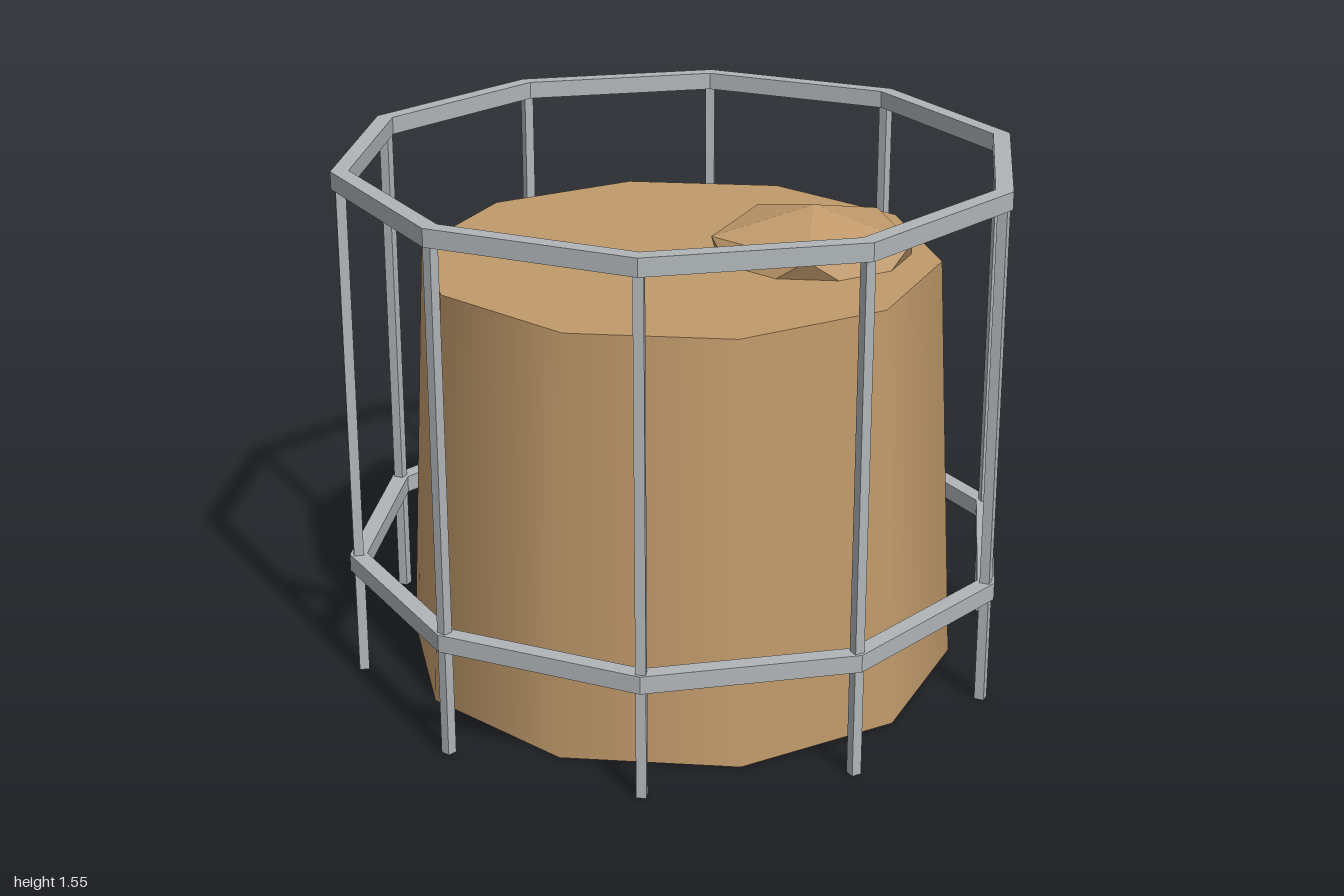
import * as THREE from 'three';

export function createModel() {
  const model = new THREE.Group();
  const tan = new THREE.MeshStandardMaterial({ color: 0xc19a6b });
  tan.name = 'tan';
  const metal = new THREE.MeshStandardMaterial({ color: 0xb0b5b8 });
  metal.name = 'grey metal';
  const SIDES = 10;

  const add = (name, geometry, material, parent = model) => {
    const mesh = new THREE.Mesh(geometry, material);
    mesh.name = name;
    parent.add(mesh);
    return mesh;
  };

  // Tapered ten-sided drum, smooth around the side
  add('drum', new THREE.CylinderGeometry(0.765, 0.83, 1.25, SIDES), tan).position.y = 0.625;

  // Flattened icosahedron half sunk in the top, one corner straight up
  const lumpGeometry = new THREE.IcosahedronGeometry(0.341, 0);
  lumpGeometry.rotateX(-Math.atan((1 + Math.sqrt(5)) / 2));
  lumpGeometry.rotateY(Math.PI / 2);
  lumpGeometry.scale(1, 0.41, 1);
  add('lump', lumpGeometry, tan).position.set(0.28, 1.25, 0.275);

  // Railing around the drum
  const railing = new THREE.Group();
  railing.name = 'railing';
  model.add(railing);

  const corners = (radius) => Array.from({ length: SIDES }, (_, i) => {
    const a = (i / SIDES) * Math.PI * 2;
    return new THREE.Vector2(radius * Math.cos(a), radius * Math.sin(a));
  });

  // Two ten-sided rails
  const ring = new THREE.Shape(corners(1));
  ring.holes.push(new THREE.Path(corners(0.948).reverse()));
  const railGeometry = new THREE.ExtrudeGeometry(ring, { depth: 0.052, bevelEnabled: false });
  railGeometry.rotateX(-Math.PI / 2);
  add('lowerRail', railGeometry, metal, railing).position.y = 0.325;
  add('upperRail', railGeometry, metal, railing).position.y = 1.503;

  // A square post at each corner
  const postGeometry = new THREE.BoxGeometry(0.029, 1.52, 0.029);
  corners(0.974).forEach((p, i) => {
    const post = add('post' + (i + 1), postGeometry, metal, railing);
    post.position.set(p.x, 0.76, p.y);
    post.rotation.y = -(i / SIDES) * Math.PI * 2;
  });

  return model;
}
